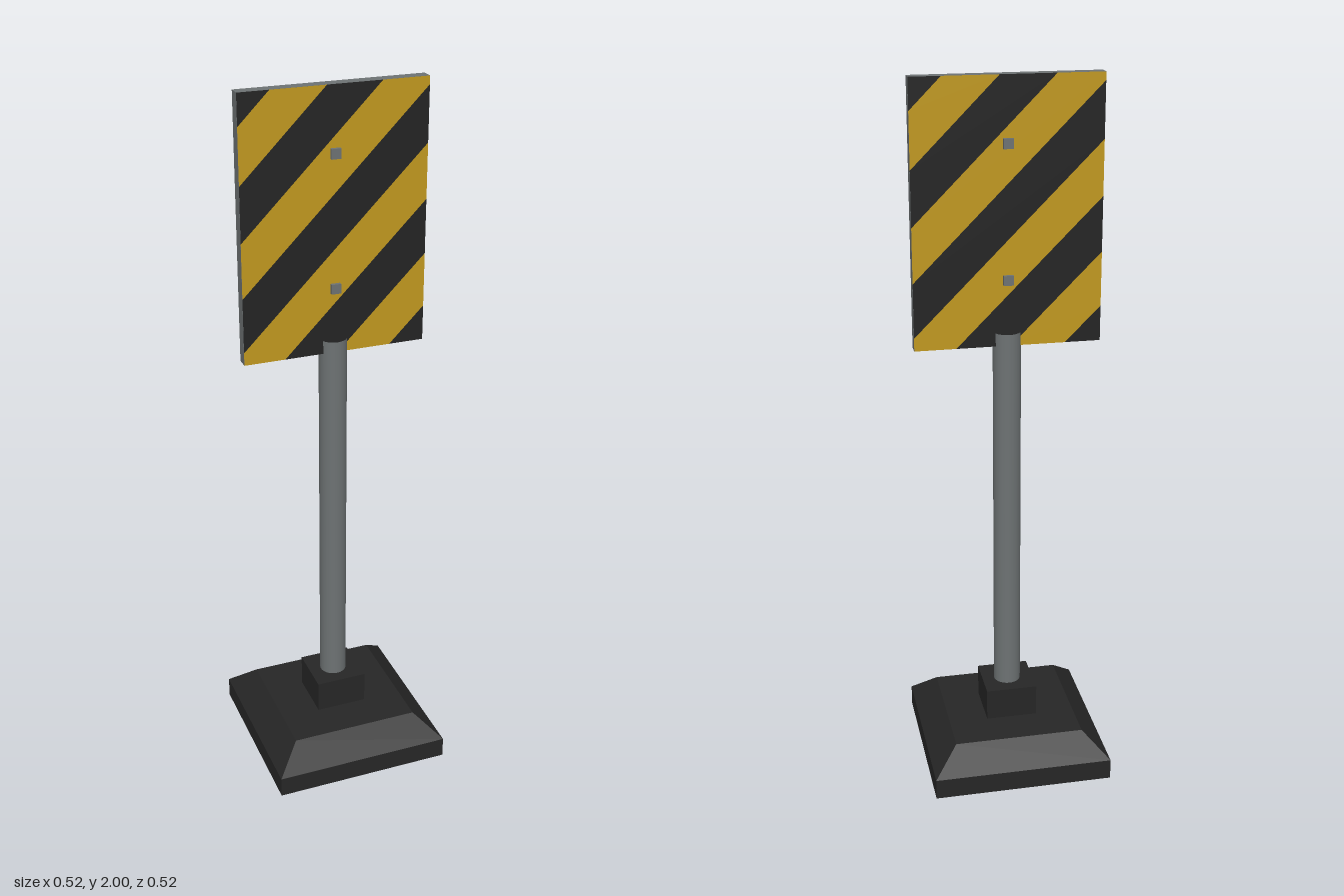
import * as THREE from 'three';

const W = 0.516, H = 0.725, TOP = 2, HALF_DEPTH = 0.017;

// Shape of the diagonal band a < (right + down) < b, clipped to the board.
function bandShape(a, b) {
  const upper = c => { const u = Math.min(c, W); return [u, c - u]; };
  const lower = c => { const v = Math.min(c, H); return [c - v, v]; };
  const pts = [upper(a)];
  if (a < W && W < b) pts.push([W, 0]);
  pts.push(upper(b), lower(b));
  if (a < H && H < b) pts.push([0, H]);
  if (a > 0) pts.push(lower(a));
  if (b >= W + H) pts.splice(pts.length - (a > 0 ? 2 : 1), 1);
  return new THREE.Shape(pts.map(([u, v]) => new THREE.Vector2(u - W / 2, TOP - v)));
}

export function createModel() {
  const model = new THREE.Group();
  const mat = (name, color, extra) => new THREE.MeshStandardMaterial({ name, color, ...extra });
  const rubber = mat('black rubber', 0x262626, { flatShading: true });
  const black = mat('stripe black', 0x242424);
  const yellow = mat('stripe yellow', 0xc0981f);
  const steel = mat('grey steel', 0x6d7273, { side: THREE.DoubleSide });

  const add = (name, geometry, material, x = 0, y = 0, z = 0, parent = model) => {
    const mesh = new THREE.Mesh(geometry, material);
    mesh.name = name;
    mesh.position.set(x, y, z);
    parent.add(mesh);
    return mesh;
  };

  // Square bevelled foot with a shallow recess underneath
  const profile = [[0, 0.035], [0.187, 0.035], [0.258, 0], [0.258, 0.06], [0.187, 0.128], [0, 0.128]]
    .map(([r, y]) => new THREE.Vector2(r * Math.SQRT2, y));
  const foot = new THREE.LatheGeometry(profile, 4);
  foot.rotateY(Math.PI / 4);
  add('foot', foot, rubber);
  add('poleSocket', new THREE.BoxGeometry(0.149, 0.097, 0.149), rubber, 0, 0.1735);

  // Open tube post
  add('pole', new THREE.CylinderGeometry(0.039, 0.039, 1.09, 24, 1, true), steel, 0, 0.767);

  // Sign board and through bolts
  add('board', new THREE.BoxGeometry(W, H, HALF_DEPTH * 2), steel, 0, TOP - H / 2);
  for (const y of [1.825, 1.46]) {
    add('bolt', new THREE.BoxGeometry(0.027, 0.027, 0.056), steel, 0, y);
  }

  // Diagonal stripes on both faces
  const cuts = [0];
  for (let c = 0.085; c < W + H; c += 0.151) cuts.push(c);
  cuts.push(W + H);
  for (const side of [0, 1]) {
    const face = new THREE.Group();
    face.name = side ? 'backStripes' : 'frontStripes';
    face.rotation.y = side * Math.PI;
    for (let i = 0; i < cuts.length - 1; i++) {
      add('stripe', new THREE.ShapeGeometry(bandShape(cuts[i], cuts[i + 1])),
        i % 2 ? yellow : black, 0, 0, HALF_DEPTH + 0.001, face);
    }
    model.add(face);
  }
  return model;
}
